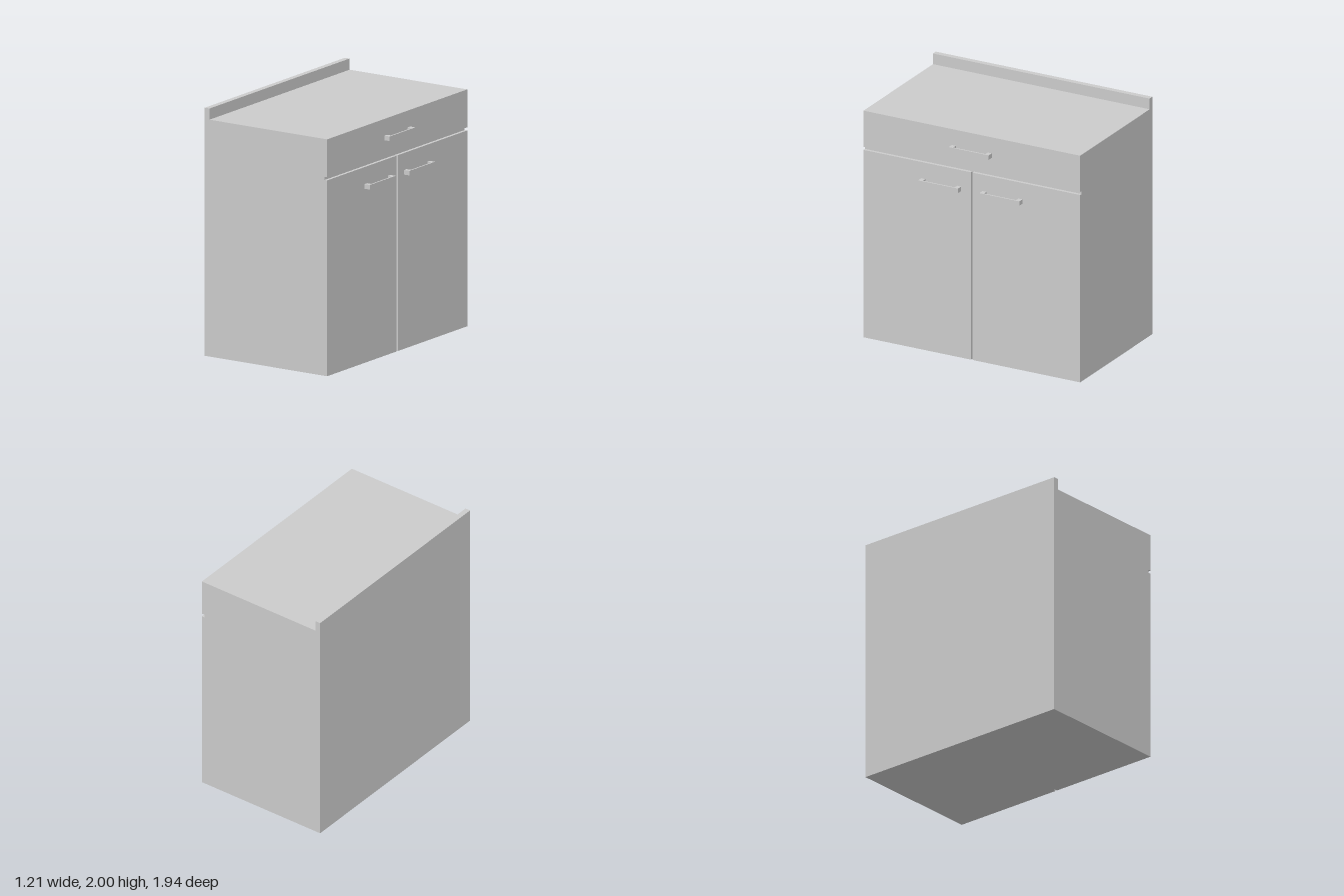
import * as THREE from 'three';

const material = new THREE.MeshStandardMaterial({ color: 0xcccccc });

// Box given by its min and max on each axis
function box(name, [x0, x1], [y0, y1], [z0, z1]) {
  const mesh = new THREE.Mesh(new THREE.BoxGeometry(x1 - x0, y1 - y0, z1 - z0), material);
  mesh.name = name;
  mesh.position.set((x0 + x1) / 2, (y0 + y1) / 2, (z0 + z1) / 2);
  return mesh;
}

// Square bracket handle cut from one outline, lying along z
function handle(name, y, z) {
  const half = 0.179, depth = 0.05, post = 0.036, bar = 0.012, height = 0.037;
  const outline = new THREE.Shape([
    [-half, 0], [-half + post, 0], [-half + post, depth - bar], [half - post, depth - bar],
    [half - post, 0], [half, 0], [half, depth], [-half, depth],
  ].map(([u, v]) => new THREE.Vector2(v, u)));
  const geometry = new THREE.ExtrudeGeometry(outline, { depth: height, bevelEnabled: false });
  geometry.translate(0, 0, -height / 2).rotateX(-Math.PI / 2);
  const mesh = new THREE.Mesh(geometry, material);
  mesh.name = name;
  mesh.position.set(0.555, y, z);
  return mesh;
}

export function createModel() {
  const group = new THREE.Group();
  group.name = 'baseCabinet';
  const width = 0.97, bodyFront = 0.53, doorFront = 0.555, top = 1.91;

  // Carcass and raised rear ledge
  const profile = new THREE.Shape([
    [-0.605, 0], [bodyFront, 0], [bodyFront, top], [-0.56, top], [-0.56, 2], [-0.605, 2],
  ].map(([x, y]) => new THREE.Vector2(x, y)));
  const carcass = new THREE.Mesh(
    new THREE.ExtrudeGeometry(profile, { depth: 2 * width, bevelEnabled: false }).translate(0, 0, -width),
    material);
  carcass.name = 'carcassWithRearLedge';
  group.add(carcass);

  // Drawer across the top
  group.add(box('drawerFront', [bodyFront, doorFront], [1.604, top], [-width, width]));
  group.add(handle('drawerHandle', 1.757, 0));

  // Pair of doors with a narrow gap between them
  for (const side of [-1, 1]) {
    const label = side > 0 ? 'left' : 'right';
    const span = side > 0 ? [0.008, width] : [-width, -0.008];
    group.add(box(label + 'Door', [bodyFront, doorFront], [0, 1.579], span));
    group.add(handle(label + 'DoorHandle', 1.423, side * 0.274));
  }
  return group;
}
